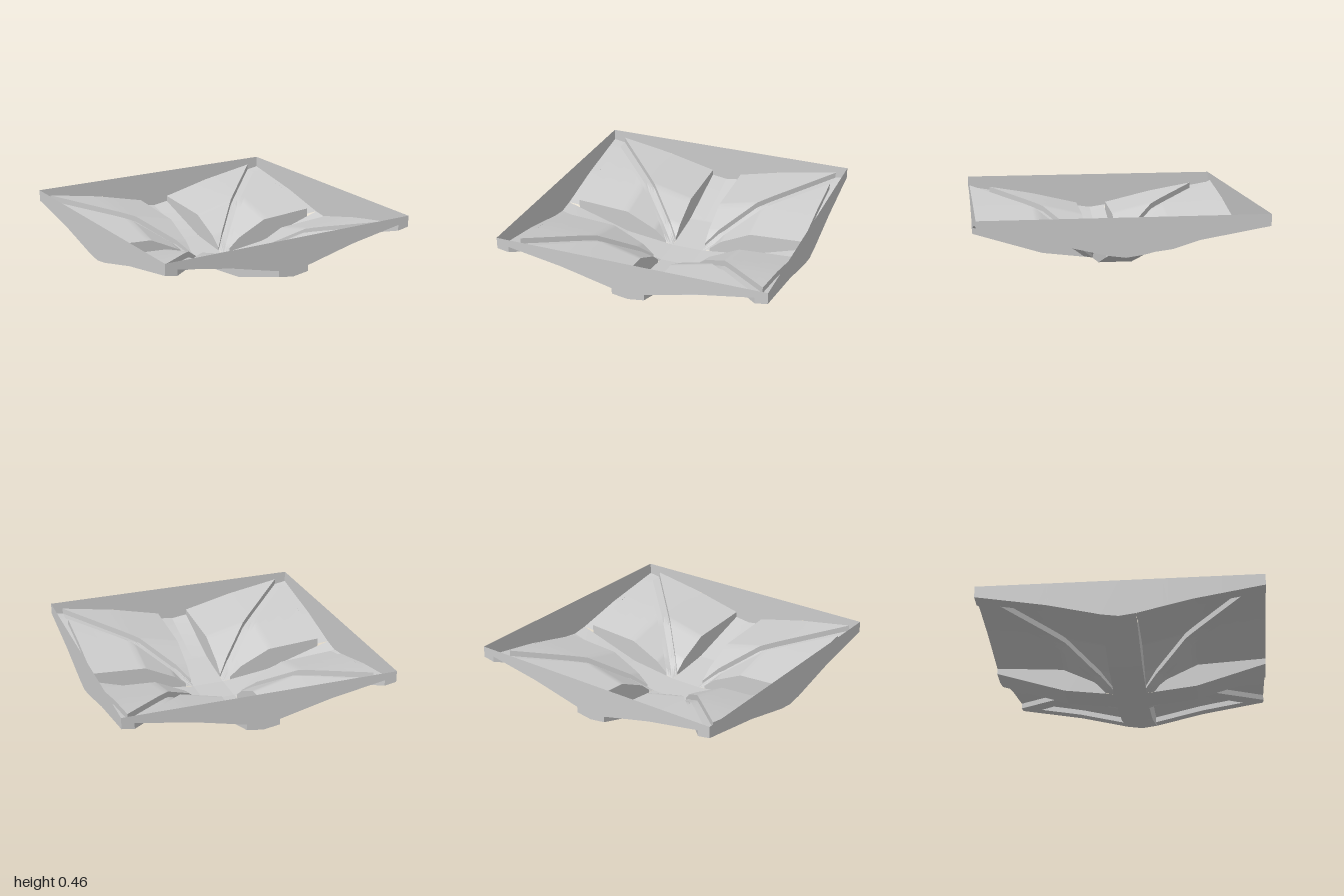
import * as THREE from 'three';
import { toCreasedNormals } from 'three/addons/utils/BufferGeometryUtils.js';

const material = new THREE.MeshStandardMaterial({ color: 0xcccccc, side: THREE.DoubleSide });

const CH = 0.12;   // half width of the valley channels
const RIM = 0.91;  // inner line of the side edge strips
const TOP = 0.46;  // top of the fascia

// piecewise linear profile
function lerpProfile(points, t) {
  for (let i = 1; i < points.length; i++) {
    const [x0, y0] = points[i - 1], [x1, y1] = points[i];
    if (t <= x1 || i === points.length - 1) return y0 + (y1 - y0) * (t - x0) / (x1 - x0);
  }
}

const rise = t => lerpProfile([[0.12, 0], [0.18, 0.03], [0.27, 0.105], [0.5, 0.215], [1, 0.245]], t);
const spread = t => lerpProfile([[0.12, 0], [0.5, 0.09], [0.91, 0.16], [1, 0.175]], t);
const step = t => lerpProfile([[0.12, 0], [0.18, 0.02], [0.3, 0.043], [1, 0.043]], t);

// height of the raised panels, of the ribs below them, and of the channels
const panelY = (x, z) => rise(Math.max(x, z)) + spread(Math.min(x, z));
const ribY = (x, z) => panelY(x, z) - step(Math.max(x, z));
const channelY = (along, across) => {
  const base = lerpProfile([[0, 0], [0.12, 0], [0.49, 0.045], [1, 0.185]], along);
  return base + Math.max(0, along - 0.49) / 0.51 * 0.017 * across / CH;
};

// surface through rows of points
function sheet(name, rows) {
  const n = rows[0].length, index = [];
  for (let i = 0; i + 1 < rows.length; i++) {
    for (let j = 0; j + 1 < n; j++) {
      const a = i * n + j, b = a + 1, c = a + n, d = c + 1;
      index.push(a, c, b, b, c, d);
    }
  }
  const g = new THREE.BufferGeometry();
  g.setAttribute('position', new THREE.Float32BufferAttribute(rows.flat(2), 3));
  g.setIndex(index);
  const mesh = new THREE.Mesh(toCreasedNormals(g, 0.4), material);
  mesh.name = name;
  return mesh;
}

// sheet between plan curves, heights given by a function
function ruled(name, stations, from, to, height, cuts = 6) {
  return sheet(name, stations.map(t => {
    const [ax, az] = from(t), [bx, bz] = to(t), row = [];
    for (let j = 0; j <= cuts; j++) {
      const x = ax + (bx - ax) * j / cuts, z = az + (bz - az) * j / cuts;
      row.push([x, height(x, z), z]);
    }
    return row;
  }));
}

// upright wall along a plan curve between two heights
function wall(name, stations, path, low, high) {
  return sheet(name, stations.map(t => {
    const [x, z] = path(t);
    return [[x, low(x, z), z], [x, high(x, z), z]];
  }));
}

function range(a, b, extra = [], n = 12) {
  const s = extra.filter(v => v > a && v < b);
  for (let i = 0; i <= n; i++) s.push(a + (b - a) * i / n);
  return [...new Set(s)].sort((p, q) => p - q);
}

function buildQuarter() {
  const q = new THREE.Group();
  q.name = 'roofQuarter';
  const T = range(0, 1, [0.11, 0.123, 0.146, 0.164, 0.39, 0.438]);
  const knots = [0.27, 0.3, 0.49, 0.5];

  // plan lines on each side of the diagonal rib
  const frontDiagonal = t => [0.12 + 0.79 * t, 0.18 + 0.82 * t];
  const sideDiagonal = t => [0.18 + 0.73 * t, 0.12 + 0.71 * t];
  const middle = t => [0.12 + 0.79 * t, 0.12 + 0.79 * t];
  const frontInner = t => [CH, frontDiagonal(t)[1]];
  const sideInner = t => [sideDiagonal(t)[0], CH];
  const frontFloor = (x, z) => channelY(z, x);
  const sideFloor = (x, z) => channelY(x, z);
  const top = () => TOP;

  // raised triangular panels
  q.add(ruled('frontPanel', T, frontInner, frontDiagonal, panelY));
  q.add(ruled('sidePanel', T, sideDiagonal, sideInner, panelY));

  // diagonal rib, folded along its middle
  q.add(ruled('ribFrontHalf', T, frontDiagonal, middle, ribY, 3));
  q.add(ruled('ribSideHalf', T, middle, sideDiagonal, ribY, 3));

  // valley channels and flat centre
  const floorStations = range(CH, 1, knots);
  q.add(ruled('frontChannel', floorStations, t => [0, t], t => [CH, t], frontFloor, 1));
  q.add(ruled('sideChannel', floorStations, t => [t, CH], t => [t, 0], sideFloor, 1));
  q.add(ruled('centreFloor', [0, CH], t => [0, t], t => [CH, t], () => 0, 1));

  // strip along the side edge
  const edge = range(CH, 1, [...knots, 0.83, 0.91]);
  q.add(ruled('edgeStrip', edge, t => [RIM, t], t => [1, t], ribY, 1));

  // walls stepping from the panels down to ribs, strips and channels
  q.add(wall('frontChannelWall', T, frontInner, frontFloor, panelY));
  q.add(wall('sideChannelWall', T, sideInner, sideFloor, panelY));
  q.add(wall('frontRibWall', T, frontDiagonal, ribY, panelY));
  q.add(wall('sideRibWall', T, sideDiagonal, ribY, panelY));
  q.add(wall('edgeStripWall', range(CH, 0.83, knots), t => [RIM, t], ribY, panelY));

  // fascia boards
  const frontPath = t => [t, 1], sidePath = t => [1, t];
  q.add(wall('frontFasciaMiddle', [0, CH], frontPath, frontFloor, top));
  q.add(wall('frontFascia', range(CH, RIM, knots), frontPath, panelY, top));
  q.add(wall('frontFasciaCorner', [RIM, 1], frontPath, ribY, top));
  q.add(wall('sideFasciaMiddle', [0, CH], sidePath, sideFloor, top));
  q.add(wall('sideFascia', edge, sidePath, ribY, top));
  return q;
}

export function createModel() {
  const model = new THREE.Group();
  model.name = 'foldedShellRoof';
  for (const sx of [1, -1]) {
    for (const sz of [1, -1]) {
      const quarter = buildQuarter();
      quarter.scale.set(sx, 1, sz);
      model.add(quarter);
    }
  }
  return model;
}
